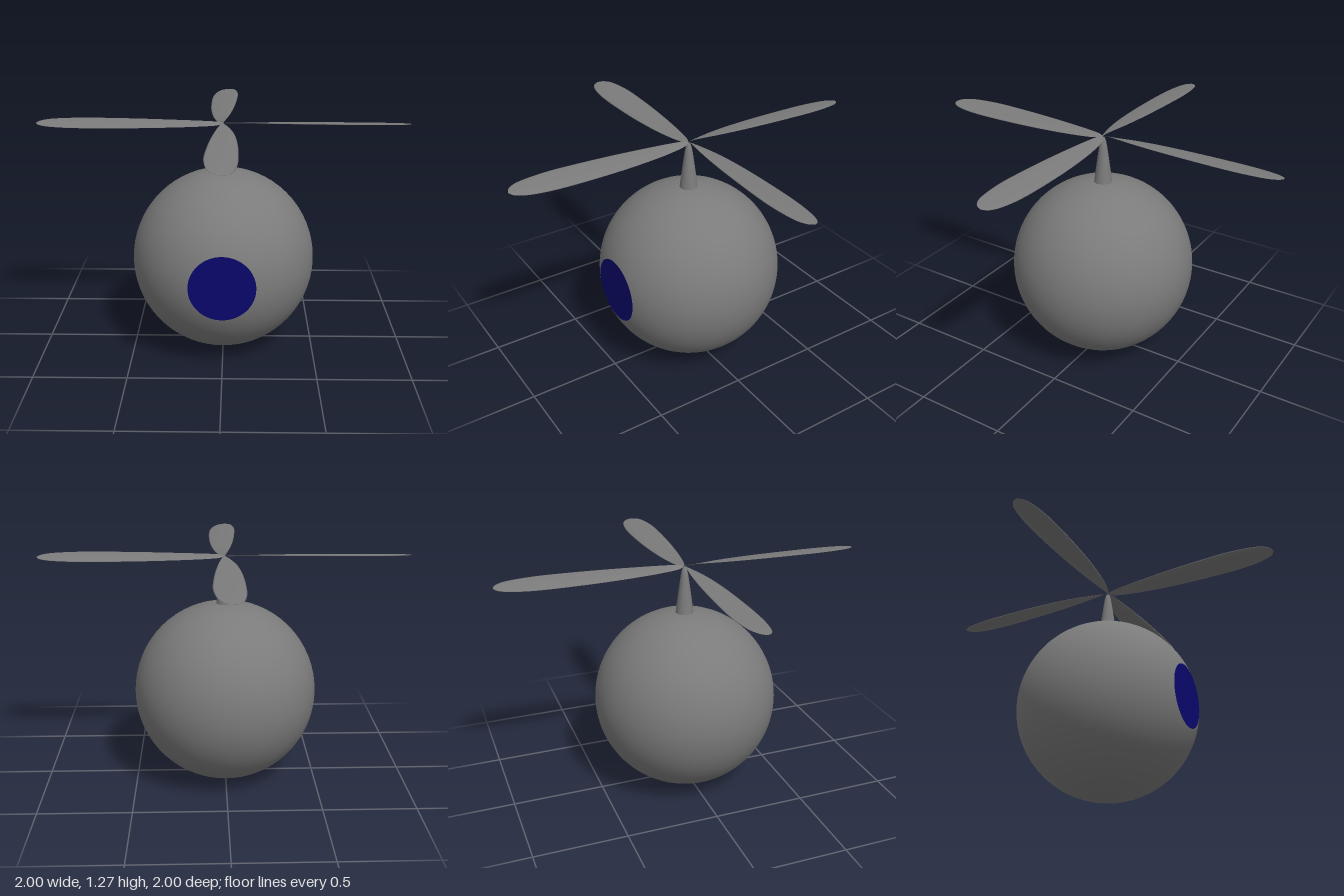
import * as THREE from 'three';

const grey = new THREE.MeshStandardMaterial({ color: 0x7b7b7b, side: THREE.DoubleSide });
const blue = new THREE.MeshStandardMaterial({ color: 0x0a076d });

const v2 = ([x, y]) => new THREE.Vector2(x, y);

function part(name, geometry, material = grey) {
  const mesh = new THREE.Mesh(geometry, material);
  mesh.name = name;
  return mesh;
}

// Thin twisted blade along +x: lens sections lofted between two edge curves
function bladeGeometry() {
  const back = new THREE.SplineCurve([[0, 0], [0.05, -0.027], [0.2, -0.058], [0.4, -0.076],
    [0.62, -0.081], [0.8, -0.076], [0.92, -0.058], [0.98, -0.032], [1, 0]].map(v2));
  const front = new THREE.SplineCurve([[0, 0], [0.05, 0.012], [0.2, 0.036], [0.4, 0.058],
    [0.62, 0.073], [0.78, 0.077], [0.92, 0.062], [0.98, 0.034], [1, 0]].map(v2));
  const rings = 48, sides = 16;
  const positions = [], indices = [];
  for (let i = 0; i <= rings; i++) {
    const t = i / rings;
    const a = back.getPoint(t), b = front.getPoint(t);
    const x = (a.x + b.x) / 2;
    const half = (b.y - a.y) / 2;
    const pitch = THREE.MathUtils.degToRad(8.5 + 25 * Math.exp(-x / 0.08));
    for (let j = 0; j < sides; j++) {
      const angle = (j / sides) * Math.PI * 2;
      const c = Math.cos(angle), thick = 0.06 * half * Math.sin(angle);
      positions.push(
        x + c * (b.x - a.x) / 2,
        thick + Math.tan(pitch) * c * half,
        (a.y + b.y) / 2 + c * half);
    }
  }
  for (let i = 0; i < rings; i++) {
    for (let j = 0; j < sides; j++) {
      const k = (j + 1) % sides;
      const p = i * sides + j, q = i * sides + k;
      indices.push(p, p + sides, q, q, p + sides, q + sides);
    }
  }
  const geometry = new THREE.BufferGeometry();
  geometry.setAttribute('position', new THREE.Float32BufferAttribute(positions, 3));
  geometry.setIndex(indices);
  geometry.computeVertexNormals();
  return geometry;
}

export function createModel() {
  const model = new THREE.Group();
  model.name = 'flyingBall';

  // Round body with a flat cut at the front
  const radius = 0.5, cutZ = 0.468;
  const cutAngle = Math.acos(cutZ / radius);
  const body = part('body', new THREE.SphereGeometry(
    radius, 64, 48, 0, Math.PI * 2, cutAngle, Math.PI - cutAngle).rotateX(Math.PI / 2));
  body.position.y = radius;
  model.add(body);

  // Blue lens closing the cut
  const eye = part('eye', new THREE.CircleGeometry(radius * Math.sin(cutAngle), 64), blue);
  eye.position.set(0, radius, cutZ);
  model.add(eye);

  // Tapered mast with a rounded tip
  const mast = new THREE.SplineCurve([[0.049, 0.99], [0.039, 1.07], [0.028, 1.15],
    [0.019, 1.21], [0.01, 1.242], [0, 1.252]].map(v2));
  model.add(part('mast', new THREE.LatheGeometry(mast.getPoints(24), 32)));

  // Four-bladed rotor
  const rotor = new THREE.Group();
  rotor.name = 'rotor';
  rotor.position.y = 1.255;
  const blade = bladeGeometry();
  for (let i = 0; i < 4; i++) {
    const mesh = part('blade' + (i + 1), blade);
    mesh.rotation.y = i * Math.PI / 2;
    rotor.add(mesh);
  }
  model.add(rotor);

  return model;
}
